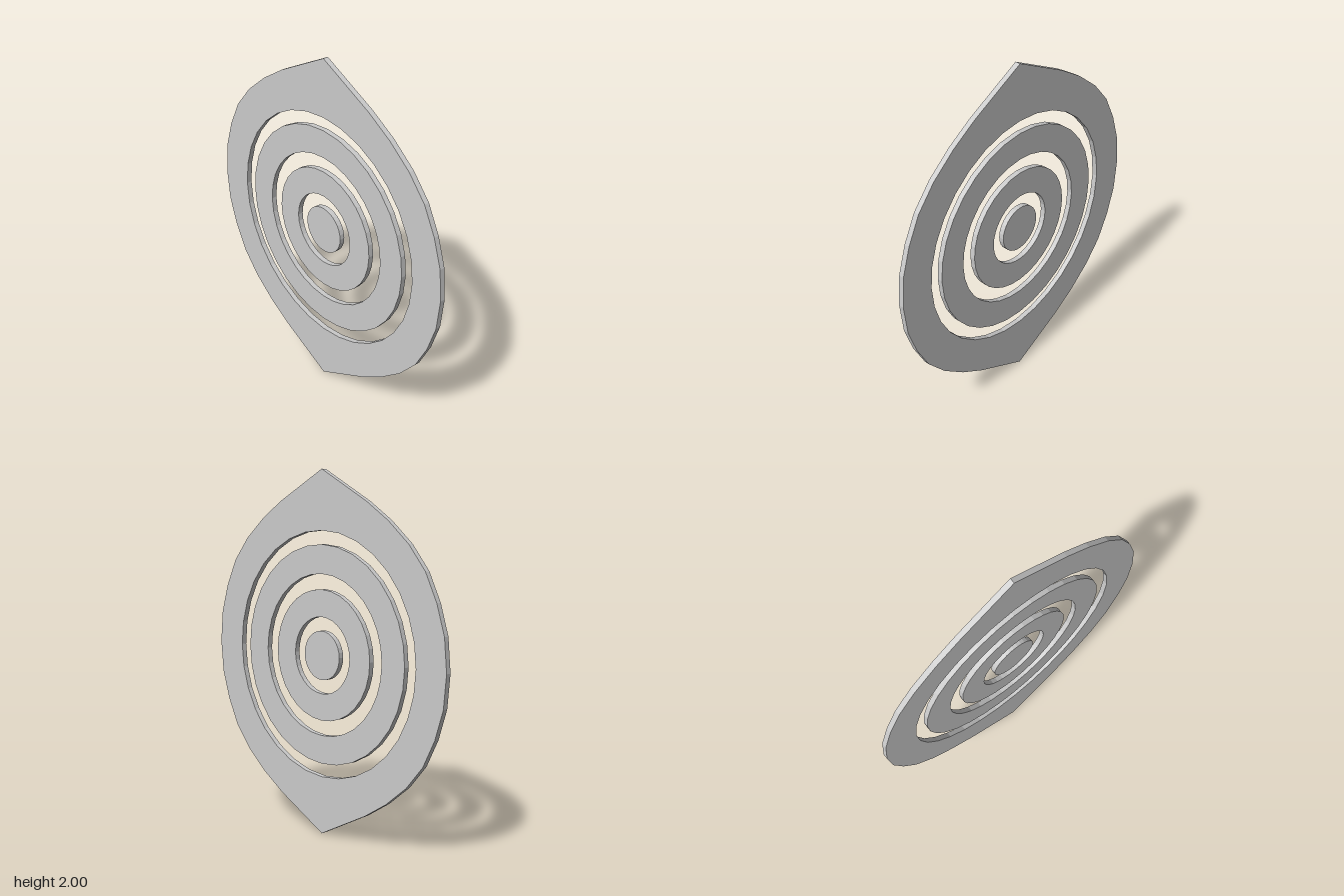
import * as THREE from 'three';

const DEPTH = 0.03;

export function createModel() {
  const group = new THREE.Group();
  const material = new THREE.MeshStandardMaterial({ color: 0xcccccc });

  // Flat plate centred on z = 0; arcs get 32 sides
  const addPlate = (name, shape, holeRadius) => {
    if (holeRadius) {
      shape.holes.push(new THREE.Path().absarc(0, 0, holeRadius, 0, Math.PI * 2, true));
    }
    const geometry = new THREE.ExtrudeGeometry(shape, { depth: DEPTH, bevelEnabled: false, curveSegments: 16 });
    geometry.translate(0, 1, -DEPTH / 2);
    const mesh = new THREE.Mesh(geometry, material);
    mesh.name = name;
    group.add(mesh);
  };
  const disc = (radius) => new THREE.Shape().absarc(0, 0, radius, 0, Math.PI * 2, false);

  // Pointed outer frame: one quarter of the outline, mirrored to all four
  const quarter = [[0.873, 0], [0.856, 0.18], [0.805, 0.34], [0.73, 0.49], [0.62, 0.62], [0.48, 0.735], [0.33, 0.83], [0, 1]];
  const upper = [...quarter, ...quarter.slice(0, -1).reverse().map(([x, y]) => [-x, y])];
  const lower = upper.slice(1, -1).reverse().map(([x, y]) => [x, -y]);
  const outline = [...upper, ...lower].map(([x, y]) => new THREE.Vector2(x, y));
  addPlate('outerFrame', new THREE.Shape(outline), 0.676);

  // Concentric rings and centre disc
  addPlate('middleRing', disc(0.602), 0.444);
  addPlate('innerRing', disc(0.36), 0.211);
  addPlate('centreDisc', disc(0.135));

  return group;
}
